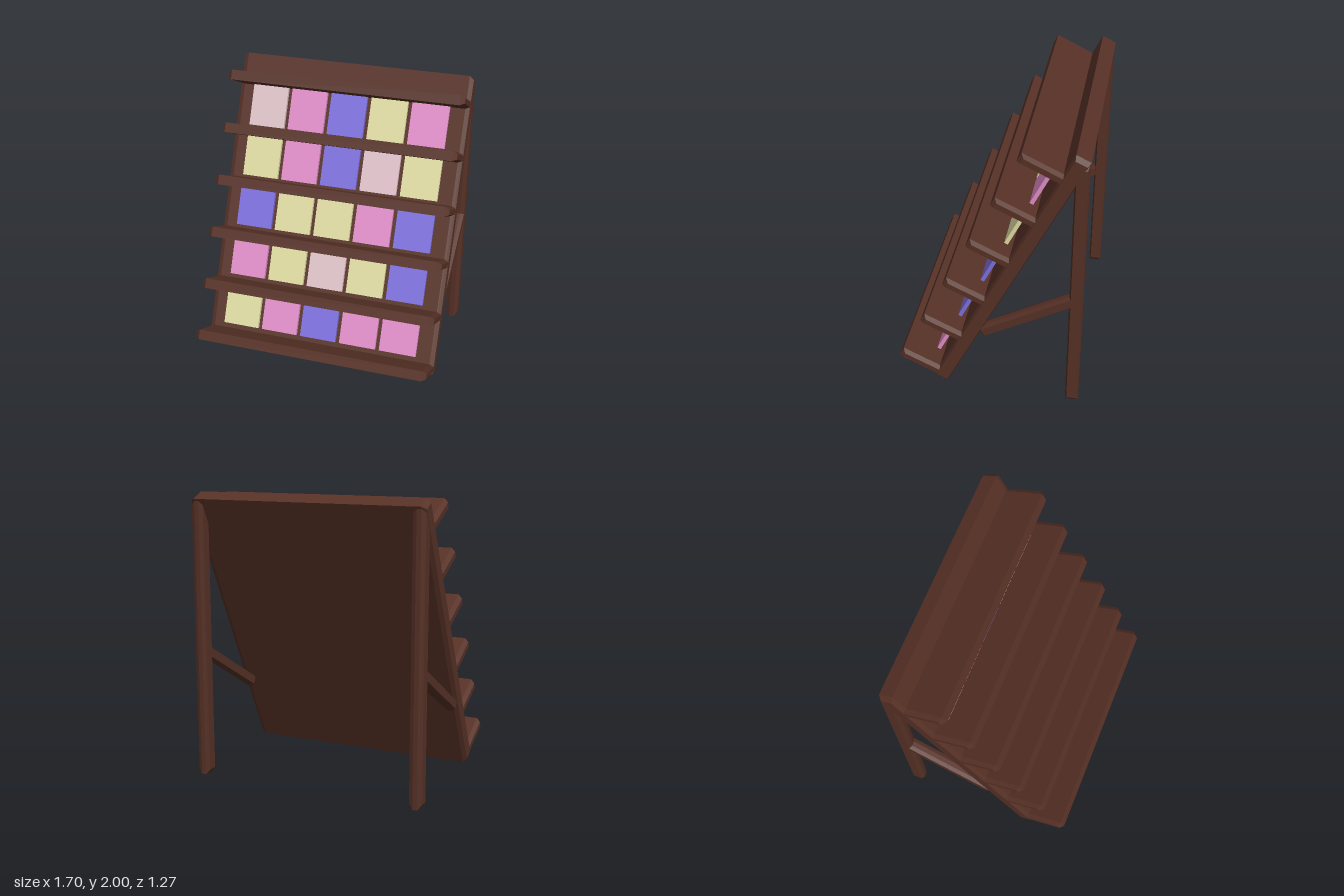
import * as THREE from 'three';

const wood = new THREE.MeshStandardMaterial({ color: 0x573126 });
wood.name = 'dark brown wood';
const tileColours = { y: ['pale yellow', 0xdedba2], p: ['pink', 0xe08dc8], b: ['violet blue', 0x7d70de], r: ['pale rose', 0xdec2c8] };
const tileMats = {};
for (const [key, [name, color]] of Object.entries(tileColours)) {
  tileMats[key] = new THREE.MeshStandardMaterial({ color });
  tileMats[key].name = name;
}

// Plank whose two x ends are chamfered: end faces shrink by insetY and insetZ
function plank(name, w, h, d, chamfer, insetY, insetZ) {
  const box = new THREE.BoxGeometry(w, h, d, 3, 1, 1);
  const p = box.attributes.position;
  for (let i = 0; i < p.count; i++) {
    const x = p.getX(i);
    if (Math.abs(x) > w * 0.4) {
      p.setY(i, Math.sign(p.getY(i)) * (h / 2 - insetY));
      p.setZ(i, Math.sign(p.getZ(i)) * (d / 2 - insetZ));
    } else {
      p.setX(i, Math.sign(x) * (w / 2 - chamfer));
    }
  }
  const geo = box.toNonIndexed();
  geo.computeVertexNormals();
  const mesh = new THREE.Mesh(geo, wood);
  mesh.name = name;
  return mesh;
}

export function createModel() {
  const model = new THREE.Group();
  model.name = 'displayRack';

  // Leaning panel: local y runs up the slope, local z points out of its front
  const panel = new THREE.Group();
  panel.name = 'leaningPanel';
  panel.position.set(0, 1.02, -0.12);
  panel.rotation.x = -Math.atan(0.487);
  model.add(panel);
  panel.add(plank('backBoard', 1.7, 2.124, 0.105, 0.03, 0.025, 0.012));

  // Six shelves standing square to the board
  for (let i = 0; i < 6; i++) {
    const shelf = plank('shelf', 1.7, 0.07, 0.315, 0.03, 0.016, 0.025);
    shelf.position.set(0, -1.009 + 0.3755 * i, 0.1775);
    panel.add(shelf);
  }

  // Five rows of coloured tiles, bottom row first
  const tileGeo = new THREE.BoxGeometry(0.265, 0.3, 0.026);
  ['ypbpp', 'pyryb', 'byypb', 'ypbry', 'rpbyp'].forEach((row, r) => {
    [...row].forEach((key, c) => {
      const tile = new THREE.Mesh(tileGeo, tileMats[key]);
      tile.name = 'tile';
      tile.position.set((c - 2) * 0.295, -0.779 + 0.367 * r, 0.104);
      panel.add(tile);
    });
  });

  // Rear legs and their slanted braces
  for (const side of [1, -1]) {
    const leg = plank('rearLeg', 0.088, 1.94, 0.09, 0.028, 0.035, 0.012);
    leg.position.set(side * 0.804, 0.97, -0.58);
    model.add(leg);

    const brace = plank('brace', 0.084, 0.08, 0.74, 0.026, 0.012, 0.02);
    brace.position.set(side * 0.804, 0.717, -0.265);
    brace.rotation.x = Math.PI / 6;
    model.add(brace);
  }
  return model;
}
